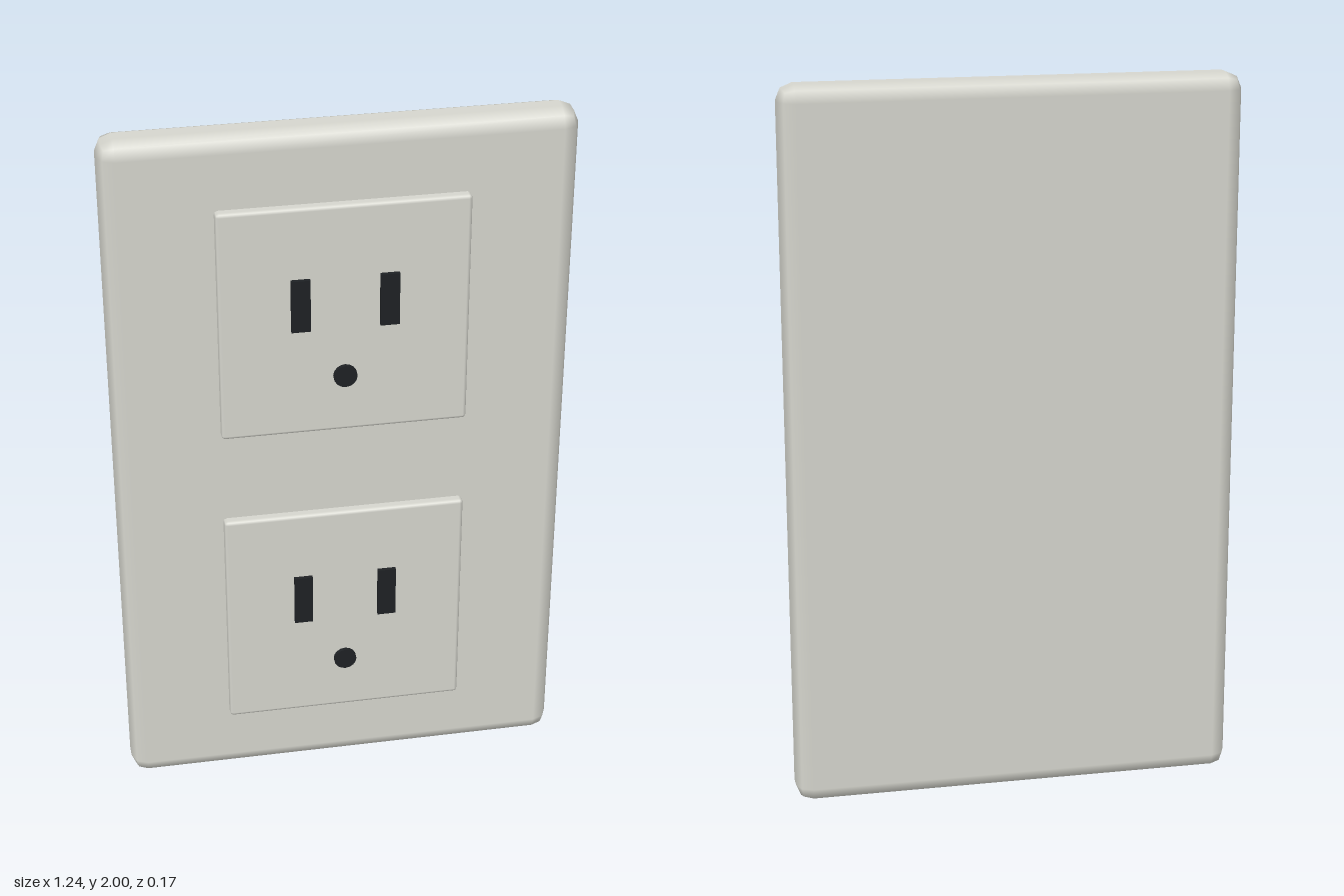
import * as THREE from 'three';
import { RoundedBoxGeometry } from 'three/addons/geometries/RoundedBoxGeometry.js';

export function createModel() {
  const model = new THREE.Group();
  model.name = 'wallOutlet';
  const plastic = new THREE.MeshStandardMaterial({ color: 0xd6d6ce });
  const dark = new THREE.MeshStandardMaterial({ color: 0x1e2124 });

  function add(parent, name, geometry, material, x, y, z) {
    const mesh = new THREE.Mesh(geometry, material);
    mesh.name = name;
    mesh.position.set(x, y, z);
    parent.add(mesh);
    return mesh;
  }

  // Wall plate with softly bevelled edges
  add(model, 'wallPlate', new RoundedBoxGeometry(1.24, 2, 0.128, 1, 0.045), plastic, 0, 1, -0.019);

  // One socket: raised square face, two blade slots and a round ground hole
  const faceGeometry = new RoundedBoxGeometry(0.667, 0.667, 0.04, 1, 0.01);
  const slotGeometry = new THREE.BoxGeometry(0.051, 0.15, 0.02);
  const holeGeometry = new THREE.CylinderGeometry(0.032, 0.032, 0.02, 16).rotateX(Math.PI / 2);

  function addSocket(name, y) {
    const socket = new THREE.Group();
    socket.name = name;
    socket.position.y = y;
    add(socket, 'socketFace', faceGeometry, plastic, 0, 0, 0.051);
    for (const side of [1, -1]) {
      add(socket, side > 0 ? 'leftSlot' : 'rightSlot', slotGeometry, dark, side * 0.118, 0.057, 0.072);
    }
    add(socket, 'groundHole', holeGeometry, dark, 0, -0.163, 0.072);
    model.add(socket);
  }

  addSocket('upperSocket', 1.469);
  addSocket('lowerSocket', 0.536);

  return model;
}
